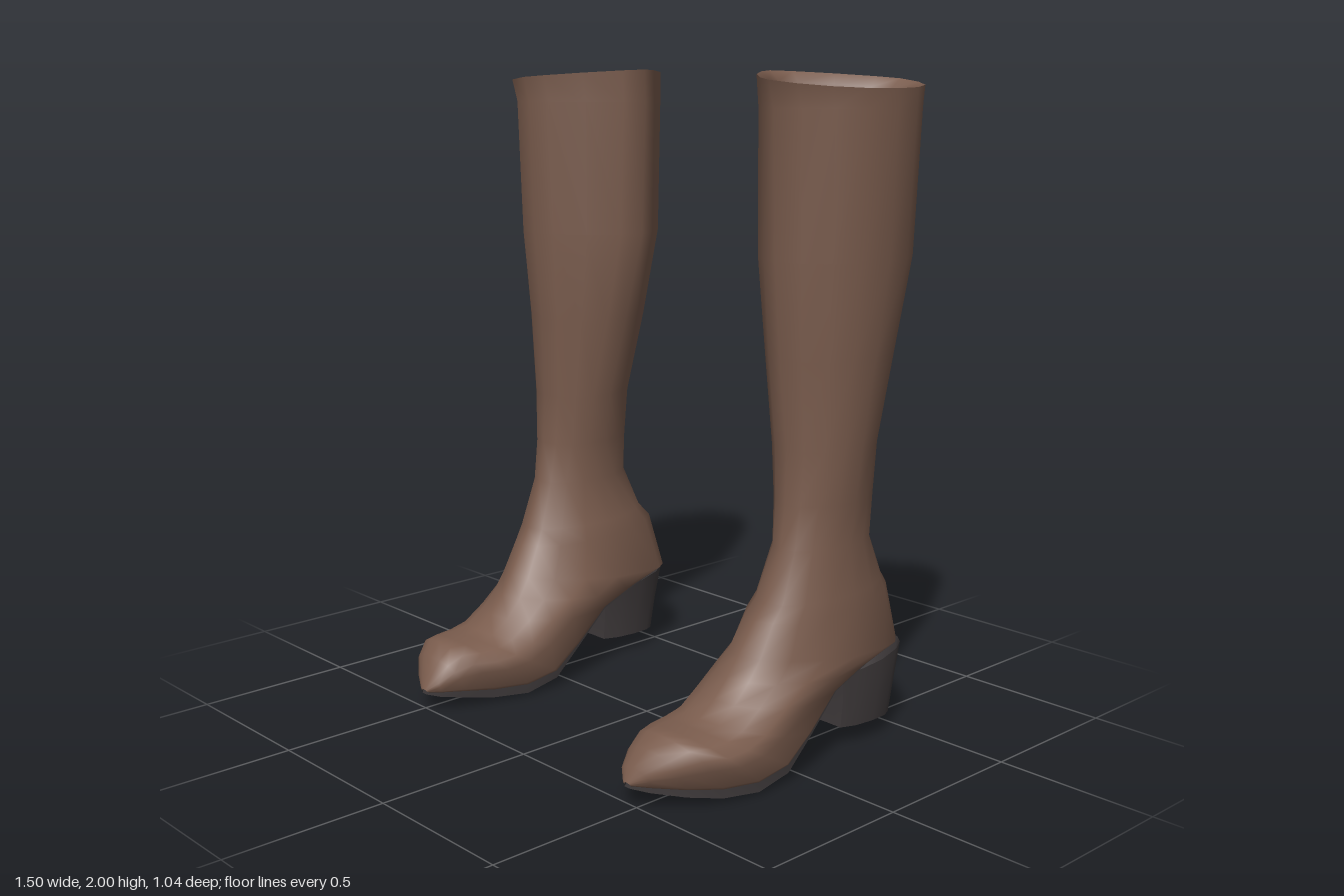
import * as THREE from 'three';
import { toCreasedNormals } from 'three/addons/utils/BufferGeometryUtils.js';

const N = 16; // points round each cross-section
const SOLE_FROM = 6, SOLE_TO = 10; // section points spanning the underside

// Signed power, squares off or sharpens an ellipse
const pow = (v, e) => Math.sign(v) * Math.abs(v) ** e;

// Section running from a front point (zf, yf) to a back point (zb, yb)
function section({ zf, yf, zb, yb, lo, hi, point = 1, box = 1, taper = 1 }) {
  const pivot = point > 1 ? 0.53 : (lo + hi) / 2;
  return Array.from({ length: N }, (_, k) => {
    const t = (k / N) * Math.PI * 2;
    const s = Math.sin(t), c = Math.cos(t);
    const e = s < 0 && point > 1 ? point : c < -1e-6 ? box : 1;
    const along = pow(c, e);
    const narrow = c < 0 ? 1 - (1 - taper) * Math.abs(along) : 1;
    const x = pivot + pow(s, e) * (s < 0 ? pivot - lo : hi - pivot) * narrow;
    return new THREE.Vector3(
      x,
      (yf + yb) / 2 + ((yf - yb) / 2) * along,
      (zf + zb) / 2 + ((zf - zb) / 2) * along,
    );
  });
}

// Skin a list of sections; side = -1 mirrors in x
function loft(rings, side, { closed = true, cap = false, skip = () => false } = {}) {
  const n = rings[0].length, pos = [], idx = [];
  const tri = (a, b, c) => idx.push(...(side > 0 ? [a, b, c] : [a, c, b]));
  rings.forEach((r) => r.forEach((p) => pos.push(p.x * side, p.y, p.z)));
  for (let i = 0; i < rings.length - 1; i++) {
    for (let k = 0; k < (closed ? n : n - 1); k++) {
      if (skip(i, k)) continue;
      const a = i * n + k, b = i * n + ((k + 1) % n);
      tri(a, a + n, b);
      tri(b, a + n, b + n);
    }
  }
  if (cap) {
    const o = (rings.length - 1) * n;
    for (let k = 1; k < n - 1; k++) tri(o, o + k + 1, o + k);
  }
  const g = new THREE.BufferGeometry();
  g.setAttribute('position', new THREE.Float32BufferAttribute(pos, 3));
  g.setIndex(idx);
  g.computeVertexNormals();
  return g;
}

// Shaft: y, front z, back z, inner x, outer x, pointedness of inner side
const SHAFT = [
  [1.977, 0.04, -0.52, 0.27, 0.752, 1.5],
  [1.9, 0.02, -0.51, 0.272, 0.75, 1.45],
  [1.48, 0.005, -0.49, 0.285, 0.738, 1.35],
  [1.2, -0.02, -0.43, 0.345, 0.71, 1.2],
  [0.94, -0.04, -0.366, 0.4, 0.688, 1],
  [0.78, -0.035, -0.365, 0.42, 0.672, 1],
  [0.65, -0.018, -0.368, 0.435, 0.66, 1],
];
// Foot: front z, y, back z, y, inner x, outer x, squareness, taper, sole depth
const FOOT = [
  [0.04, 0.5, -0.43, 0.515, 0.405, 0.68, 1, 1, 0],
  [0.075, 0.45, -0.475, 0.47, 0.385, 0.68, 1, 0.9, 0],
  [0.13, 0.36, -0.52, 0.28, 0.36, 0.692, 0.7, 0.75, 0],
  [0.17, 0.3, -0.36, 0.255, 0.345, 0.695, 0.5, 0.72, 0.004],
  [0.22, 0.245, -0.2, 0.21, 0.34, 0.695, 0.4, 0.75, 0.006],
  [0.28, 0.205, -0.06, 0.115, 0.34, 0.697, 0.35, 0.88, 0.01],
  [0.33, 0.2, 0.06, 0.05, 0.337, 0.697, 0.3, 0.98, 0.025],
  [0.38, 0.2, 0.18, 0.03, 0.345, 0.69, 0.3, 1, 0.03],
  [0.43, 0.2, 0.3, 0.035, 0.375, 0.66, 0.3, 1, 0.027],
  [0.47, 0.165, 0.4, 0.05, 0.4, 0.615, 0.35, 1, 0.022],
  [0.503, 0.115, 0.48, 0.06, 0.43, 0.545, 0.5, 1, 0.015],
  [0.522, 0.075, 0.515, 0.065, 0.465, 0.495, 0.6, 1, 0.008],
];
const HEEL_ROW = 2; // foot section where the sole starts

function buildBoot(side, leather, sole) {
  const boot = new THREE.Group();
  const add = (name, geometry, material) => {
    const mesh = new THREE.Mesh(geometry, material);
    mesh.name = name;
    boot.add(mesh);
  };

  const shaft = SHAFT.map(([y, zf, zb, lo, hi, point]) =>
    section({ zf, yf: y, zb, yb: y, lo, hi, point }));
  const foot = FOOT.map(([zf, yf, zb, yb, lo, hi, box, taper]) =>
    section({ zf, yf, zb, yb, lo, hi, box, taper }));

  // Rim rises towards the inner side
  const rim = shaft[0];
  rim.forEach((p) => { p.y -= 0.023 * (p.x - 0.53) / (p.x < 0.53 ? 0.26 : 0.222); });

  // Leather upper, open under the foot
  const start = shaft.length + HEEL_ROW;
  add('upper', loft([...shaft, ...foot], side, {
    skip: (i, k) => i >= start && k >= SOLE_FROM && k < SOLE_TO,
  }), leather);

  // Turned-in lining at the opening
  const inset = (scale, drop) => rim.map((p) => new THREE.Vector3(
    0.53 + (p.x - 0.53) * scale, p.y - drop, -0.24 + (p.z + 0.24) * scale));
  add('lining', loft([inset(0.83, 0.12), inset(0.86, 0.03), rim], side), leather);

  // Sole with a thin edge
  const soleRings = foot.slice(HEEL_ROW).map((ring, i) => {
    const depth = FOOT[i + HEEL_ROW][8];
    const under = ring.slice(SOLE_FROM, SOLE_TO + 1);
    const lowered = under.map((p) => new THREE.Vector3(p.x, p.y - depth, p.z));
    return [under[0], ...lowered, under[under.length - 1]];
  });
  add('sole', toCreasedNormals(loft(soleRings, side, { closed: false }), 0.7), sole);

  // Block heel
  const heelRings = [
    { zf: -0.23, yf: 0.225, zb: -0.515, yb: 0.285, lo: 0.43, hi: 0.645 },
    { zf: -0.24, yf: 0.14, zb: -0.495, yb: 0.17, lo: 0.445, hi: 0.635 },
    { zf: -0.24, yf: 0.06, zb: -0.48, yb: 0.055, lo: 0.455, hi: 0.625 },
  ].map((r) => section({ ...r, box: 0.7 }).map((p) => {
    // Flatten the front face of the block
    const mid = (r.zf + r.zb) / 2;
    if (p.z > mid) p.z = mid + (r.zf - mid) * Math.min(1, ((p.z - mid) / (r.zf - mid)) * 1.5);
    return p;
  }));
  add('heel', toCreasedNormals(loft(heelRings, side, { cap: true }), 0.7), sole);
  return boot;
}

export function createModel() {
  const leather = new THREE.MeshStandardMaterial({ color: 0x7a5c4d, side: THREE.DoubleSide });
  leather.name = 'brown leather';
  const sole = new THREE.MeshStandardMaterial({ color: 0x3f3a3b, side: THREE.DoubleSide });
  sole.name = 'dark sole';

  const model = new THREE.Group();
  model.name = 'boots';
  for (const [name, side] of [['leftBoot', 1], ['rightBoot', -1]]) {
    const boot = buildBoot(side, leather, sole);
    boot.name = name;
    model.add(boot);
  }
  return model;
}
